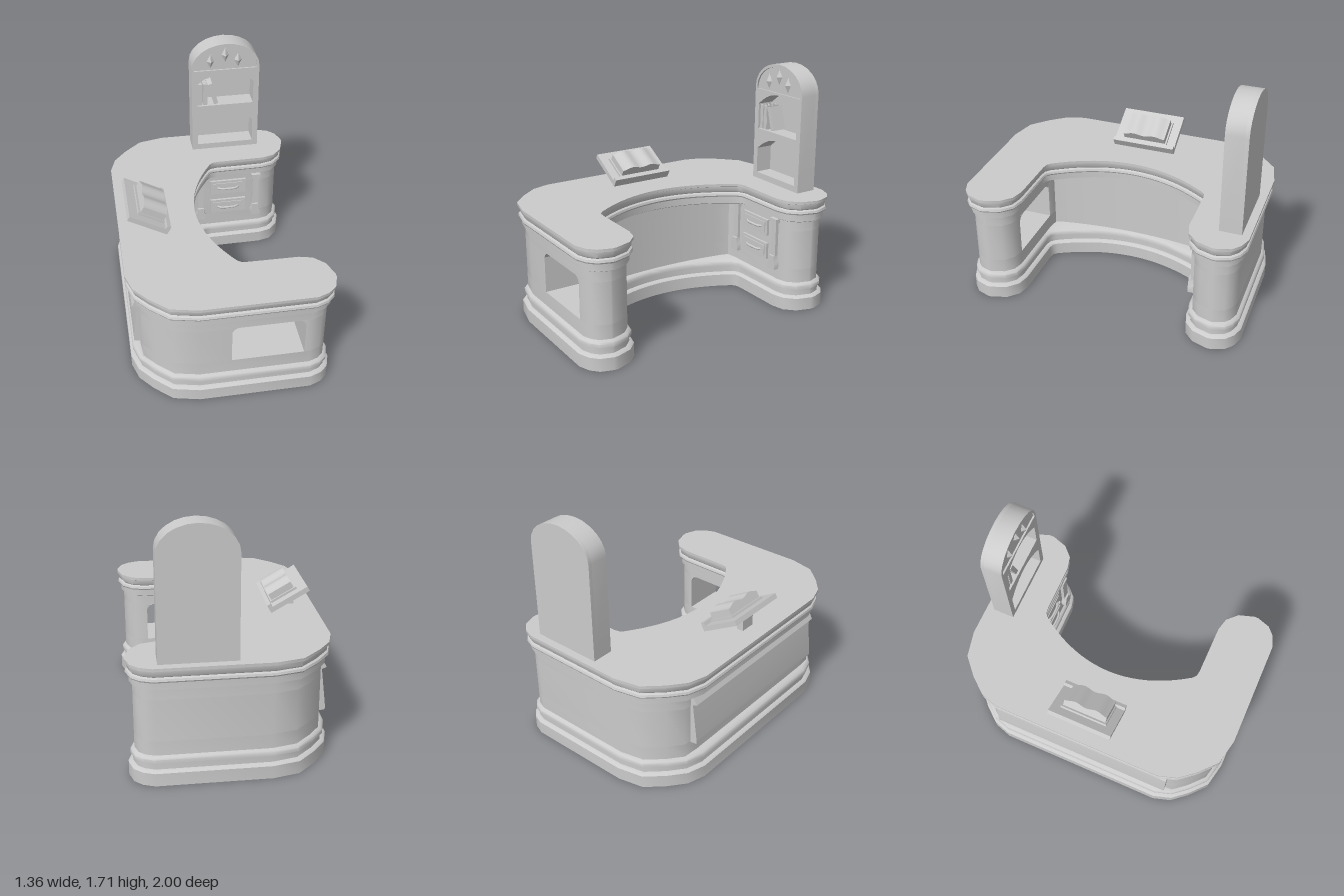
import * as THREE from 'three';
import { toCreasedNormals } from 'three/addons/utils/BufferGeometryUtils.js';

const material = new THREE.MeshStandardMaterial({ color: 0xcccccc });
const V2 = (p) => new THREE.Vector2(p[0], p[1]);

function add(parent, name, geometry, x = 0, y = 0, z = 0) {
  const mesh = new THREE.Mesh(geometry, material);
  mesh.name = name;
  mesh.position.set(x, y, z);
  parent.add(mesh);
  return mesh;
}

// box given by its limits on each axis
function block(parent, name, [x0, x1], [y0, y1], [z0, z1]) {
  return add(parent, name, new THREE.BoxGeometry(x1 - x0, y1 - y0, z1 - z0),
    (x0 + x1) / 2, (y0 + y1) / 2, (z0 + z1) / 2);
}

// flat outline pushed along z from z0 to z1
function slab(points, z0, z1, holes = []) {
  const shape = new THREE.Shape(points.map(V2));
  shape.holes = holes.map((h) => new THREE.Path(h.map(V2)));
  const g = new THREE.ExtrudeGeometry(shape, { depth: z1 - z0, bevelEnabled: false });
  g.translate(0, 0, z0);
  return toCreasedNormals(g, 0.5);
}

// C-shaped plan in (x, z); corner = x of the inner bend, back = x of the rear wall
function outline(corner, back) {
  const half = [];
  for (let i = 0; i <= 10; i++) {
    const t = 0.094 * i;
    half.push([-0.13 + (corner + 0.13) * t * t, 0.6 * t]);
  }
  half.push([corner, 0.586], [corner + 0.04, 0.593], [0.48, 0.597], [0.57, 0.62], [0.64, 0.69],
    [0.675, 0.8], [0.675, 0.83], [0.645, 0.92], [0.59, 0.97], [0.51, 1], [-0.25, 1], [-0.43, 0.96],
    [-0.55, 0.85], [-0.64, 0.74], [back, 0.61]);
  return half.concat(half.slice(1).reverse().map(([x, z]) => [x, -z]));
}

// shrink a plan by d with mitred corners
function inset(pts, d) {
  const n = pts.length;
  const normal = (a, b) => {
    const l = Math.hypot(b[0] - a[0], b[1] - a[1]);
    return [-(b[1] - a[1]) / l, (b[0] - a[0]) / l];
  };
  return pts.map((p, i) => {
    const u = normal(pts[(i + n - 1) % n], p), v = normal(p, pts[(i + 1) % n]);
    const k = d / (1 + u[0] * v[0] + u[1] * v[1]);
    return [p[0] + (u[0] + v[0]) * k, p[1] + (u[1] + v[1]) * k];
  });
}

// solid through rings of [height, plan]
function loft(rings) {
  const n = rings[0][1].length, pos = [], idx = [];
  for (const [y, pts] of rings) for (const [x, z] of pts) pos.push(x, y, z);
  for (let r = 0; r < rings.length - 1; r++) {
    for (let i = 0; i < n; i++) {
      const a = r * n + i, b = r * n + (i + 1) % n;
      idx.push(a, a + n, b + n, a, b + n, b);
    }
  }
  const top = (rings.length - 1) * n;
  for (const [a, b, c] of THREE.ShapeUtils.triangulateShape(rings[0][1].map(V2), [])) {
    idx.push(a, b, c, top + a, top + c, top + b);
  }
  const g = new THREE.BufferGeometry();
  g.setAttribute('position', new THREE.Float32BufferAttribute(pos, 3));
  g.setIndex(idx);
  return toCreasedNormals(g, 0.75);
}

function buildDesk(root) {
  const desk = new THREE.Group();
  desk.name = 'desk';
  root.add(desk);
  const topPlan = outline(0.09, -0.68), basePlan = outline(0.05, -0.68);
  const moulded = (plan, profile) => loft(profile.map(([y, d]) => [y, inset(plan, d)]));

  add(desk, 'plinth', moulded(basePlan, [[0, 0.005], [0.09, 0.005], [0.1, 0.015], [0.105, 0.035],
    [0.15, 0.035], [0.155, 0.02], [0.18, 0.02], [0.19, 0.028], [0.2, 0.045]]));
  add(desk, 'deskTop', moulded(topPlan, [[0.66, 0.045], [0.67, 0.025], [0.72, 0.025], [0.725, 0.008],
    [0.735, 0.003], [0.75, 0.008], [0.757, 0.022], [0.765, 0.015], [0.8, 0.012], [0.805, 0], [0.825, 0]]));

  // body walls, split around the opening through the front arm
  const plan = inset(outline(-0.07, -0.65), 0.045);
  const x0 = -0.03, x1 = 0.46, zIn = 0.64, zOut = 0.955;
  const isTip = ([x, z]) => x > x1 && z > 0;
  const first = plan.findIndex(isTip);
  const tip = plan.filter(isTip);
  const main = plan.filter((p) => !isTip(p));
  main.splice(first, 0, [x0, zIn], [x0, zOut]);
  const wall = (name, pts, a, b) => add(desk, name, loft([[a, pts], [b, pts]]));
  wall('bodyLower', plan, 0.2, 0.3);
  wall('bodyMain', main, 0.3, 0.59);
  wall('bodyArmEnd', [[x1, zIn], ...tip, [x1, zOut]], 0.3, 0.59);
  wall('bodyUpper', plan, 0.59, 0.66);
  for (const [x, s] of [[x0, 1], [x1, -1]]) {
    add(desk, 'openingCorner', slab([[x, 0.59], [x, 0.55], [x + s * 0.012, 0.572],
      [x + s * 0.025, 0.583], [x + s * 0.045, 0.59]], zIn, zOut));
  }

  // sloping panel on the rear wall
  add(desk, 'rearPanel', slab([[-0.59, 0.29], [-0.65, 0.3], [-0.65, 0.33], [-0.618, 0.6],
    [-0.65, 0.612], [-0.625, 0.66], [-0.59, 0.66]], -0.67, 0.67));
}

function buildDrawers(root) {
  const drawers = new THREE.Group();
  drawers.name = 'drawers';
  root.add(drawers);
  for (const y of [0.32, 0.5]) {
    block(drawers, 'drawerFront', [0.08, 0.36], [y, y + 0.12], [-0.65, -0.622]);
    block(drawers, 'drawerPanel', [0.1, 0.34], [y + 0.02, y + 0.1], [-0.63, -0.616]);
    const path = new THREE.CatmullRomCurve3([[0.14, -0.62], [0.16, -0.604], [0.22, -0.598],
      [0.28, -0.604], [0.3, -0.62]].map(([x, z]) => new THREE.Vector3(x, y + 0.06, z)));
    add(drawers, 'drawerHandle', new THREE.TubeGeometry(path, 16, 0.009, 8));
  }
  for (const x of [0, 0.44]) {
    block(drawers, 'pilasterShaft', [x - 0.024, x + 0.024], [0.34, 0.66], [-0.65, -0.618]);
    block(drawers, 'pilasterCap', [x - 0.035, x + 0.035], [0.63, 0.66], [-0.65, -0.608]);
    // flared foot
    const foot = slab([[-0.024, 0.38], [-0.03, 0.34], [-0.038, 0.32], [-0.038, 0.28],
      [0.038, 0.28], [0.038, 0.32], [0.03, 0.34], [0.024, 0.38]], -0.65, -0.603);
    add(drawers, 'pilasterFoot', foot, x);
  }
}

function buildBookcase(root) {
  const bookcase = new THREE.Group();
  bookcase.name = 'bookcase';
  root.add(bookcase);
  const cx = 0.2225;
  // upright opening with an elliptical head
  const arched = (w, y0, spring, top, n = 12) => {
    const pts = [[cx - w, y0], [cx + w, y0]];
    for (let i = 0; i <= n; i++) {
      const a = Math.PI * i / n;
      pts.push([cx + w * Math.cos(a), spring + (top - spring) * Math.sin(a)]);
    }
    return pts;
  };
  // niche with a shallow arch between upright sides
  const niche = (y) => {
    const pts = [[cx - 0.212, y], [cx + 0.212, y]];
    for (let i = 0; i <= 10; i++) {
      const t = 1 - i / 5;
      pts.push([cx + 0.212 * t, y + 0.185 + 0.095 * (1 - t * t)]);
    }
    return pts;
  };
  const outer = arched(0.254, 0.825, 1.52, 1.71);
  const lunette = arched(0.237, 1.503, 1.515, 1.69);
  add(bookcase, 'case', slab(outer, -0.92, -0.793, [niche(0.87), niche(1.207), lunette]));
  add(bookcase, 'backBoard', slab(outer, -0.945, -0.92));
  add(bookcase, 'crestPanel', slab(lunette, -0.92, -0.805));

  // diamond studs
  for (const [x, y] of [[0.11, 1.575], [0.22, 1.62], [0.316, 1.575]]) {
    const stud = new THREE.OctahedronGeometry(1);
    stud.scale(0.028, 0.056, 0.028);
    add(bookcase, 'diamondStud', stud, x, y, -0.803);
  }

  // books: two upright, one leaning
  for (const [x, tilt] of [[0.03, 0], [0.071, 0], [0.131, 0.27]]) {
    const book = new THREE.Group();
    book.name = 'shelfBook';
    for (const s of [-1, 1]) {
      block(book, 'cover', [s * 0.014 - 0.003, s * 0.014 + 0.003], [-0.088, 0.088], [-0.055, 0.05]);
    }
    block(book, 'pages', [-0.012, 0.012], [-0.082, 0.082], [-0.05, 0.04]);
    block(book, 'spine', [-0.014, 0.014], [-0.088, 0.088], [0.044, 0.053]);
    book.position.set(x, 1.296, -0.86);
    book.rotation.z = tilt;
    bookcase.add(book);
  }
}

function buildLectern(root) {
  block(root, 'lecternPost', [-0.548, -0.5], [0.82, 0.94], [-0.055, 0.055]);
  const lectern = new THREE.Group();
  lectern.name = 'lectern';
  lectern.position.set(-0.48, 0.922, 0);
  lectern.rotation.z = -0.52;
  root.add(lectern);
  block(lectern, 'board', [-0.153, 0.152], [-0.018, 0.018], [-0.23, 0.23]);
  block(lectern, 'lip', [0.122, 0.152], [0.018, 0.045], [-0.23, 0.23]);
  block(lectern, 'bookCover', [-0.085, 0.116], [0.018, 0.034], [-0.168, 0.168]);

  // open book with two gently waved page stacks
  const pages = [[-0.157, 0.034], [0.157, 0.034]];
  for (let i = 0; i <= 24; i++) {
    const z = 0.157 * (1 - i / 12), t = Math.abs(z) / 0.157;
    pages.push([z, 0.098 - 0.01 * Math.cos(2 * Math.PI * t) - 0.006 * t]);
  }
  const g = slab(pages, -0.07, 0.108);
  g.rotateY(Math.PI / 2);
  add(lectern, 'openPages', g);
}

export function createModel() {
  const root = new THREE.Group();
  root.name = 'curvedDesk';
  buildDesk(root);
  buildDrawers(root);
  buildBookcase(root);
  buildLectern(root);
  return root;
}
